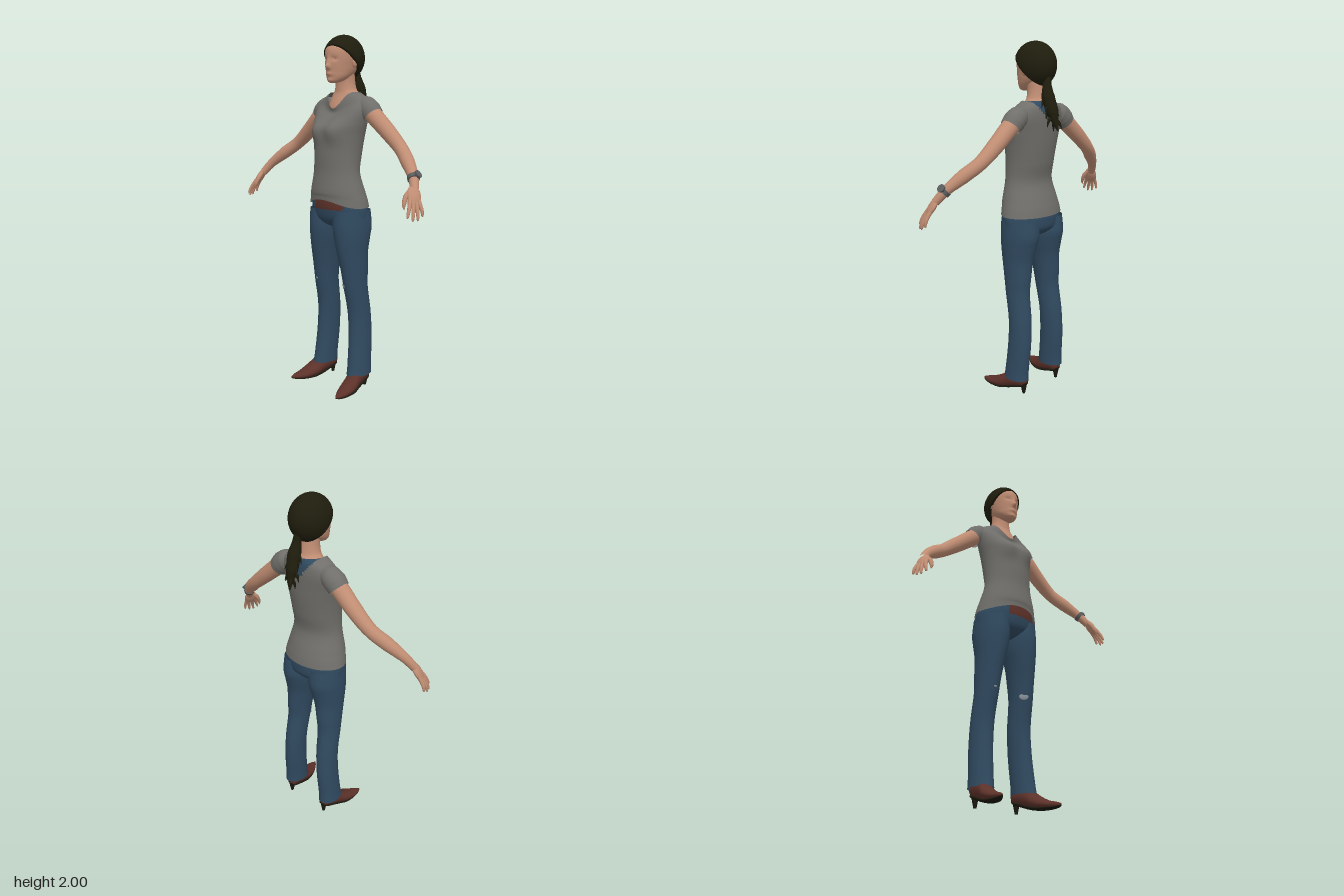
import * as THREE from 'three';
import { mergeVertices, mergeGeometries } from 'three/addons/utils/BufferGeometryUtils.js';

const V = (x, y, z) => new THREE.Vector3(x, y, z);
const mat = (name, color, side = THREE.FrontSide) => {
  const m = new THREE.MeshStandardMaterial({ color, side });
  m.name = name;
  return m;
};

// Smooth interpolation through rows of numbers
function spline(rows, t) {
  const i = Math.min(Math.floor(t), rows.length - 2), f = t - i;
  const at = k => rows[Math.max(0, Math.min(rows.length - 1, k))];
  return rows[i].map((p1, k) => {
    const p0 = at(i - 1)[k], p2 = at(i + 1)[k], p3 = at(i + 2)[k];
    return 0.5 * (2 * p1 + (p2 - p0) * f + (2 * p0 - 5 * p1 + 4 * p2 - p3) * f * f + (3 * p1 - p0 - 3 * p2 + p3) * f * f * f);
  });
}

// Skin over elliptical rings [y, x, z, rx, rz, front lift], listed bottom to top
function loft(rings, { cap = false, seg = 40, sub = 5, deform, paint } = {}) {
  const pos = [], lists = [[], []], rows = (rings.length - 1) * sub;
  for (let i = 0; i <= rows; i++) {
    const [y, x, z, rx, rz, lift] = spline(rings.map(r => [...r, 0].slice(0, 6)), i / sub);
    for (let j = 0; j < seg; j++) {
      const a = j / seg * Math.PI * 2, c = Math.cos(a);
      const p = V(x + rx * Math.sin(a), y + lift * Math.max(0, c) ** 3, z + rz * c);
      if (deform) deform(p);
      pos.push(p.x, p.y, p.z);
    }
  }
  for (let i = 0; i < rows; i++) for (let j = 0; j < seg; j++) {
    const a = i * seg + j, b = i * seg + (j + 1) % seg, d = a + seg, e = b + seg;
    const mid = V(pos[3 * a] + pos[3 * e], pos[3 * a + 1] + pos[3 * e + 1], pos[3 * a + 2] + pos[3 * e + 2]).divideScalar(2);
    lists[paint && paint(mid) ? 1 : 0].push(a, b, d, b, e, d);
  }
  if (cap) {
    const lo = rings[0], hi = rings[rings.length - 1], n = pos.length / 3, top = rows * seg;
    pos.push(lo[1], lo[0], lo[2], hi[1], hi[0], hi[2]);
    for (let j = 0; j < seg; j++) {
      const k = (j + 1) % seg;
      lists[0].push(n, k, j, n + 1, top + j, top + k);
    }
  }
  const g = new THREE.BufferGeometry();
  g.setAttribute('position', new THREE.Float32BufferAttribute(pos, 3));
  g.setIndex(lists.flat());
  if (paint) {
    g.addGroup(0, lists[0].length, 0);
    g.addGroup(lists[0].length, lists[1].length, 1);
  }
  g.computeVertexNormals();
  return g;
}

// Tube along a curve with a radius for each point
function limb(points, radii, seg = 16, steps = 32) {
  const curve = new THREE.CatmullRomCurve3(points);
  const g = new THREE.TubeGeometry(curve, steps, 1, seg, false), p = g.attributes.position;
  for (let i = 0; i <= steps; i++) {
    const c = curve.getPointAt(i / steps), t = curve.getUtoTmapping(i / steps) * (radii.length - 1);
    const k = Math.min(Math.floor(t), radii.length - 2);
    const r = THREE.MathUtils.lerp(radii[k], radii[k + 1], t - k);
    for (let j = 0; j <= seg; j++) {
      const n = i * (seg + 1) + j, v = V(0, 0, 0).fromBufferAttribute(p, n).sub(c).multiplyScalar(r).add(c);
      p.setXYZ(n, v.x, v.y, v.z);
    }
  }
  g.deleteAttribute('uv');
  g.deleteAttribute('normal');
  const out = mergeVertices(g, 1e-5);
  out.computeVertexNormals();
  return out;
}

function mirror(geo) {
  const g = geo.clone().scale(-1, 1, 1), ix = g.index.array;
  for (let i = 0; i < ix.length; i += 3) [ix[i], ix[i + 1]] = [ix[i + 1], ix[i]];
  g.computeVertexNormals();
  return g;
}

export function createModel() {
  const model = new THREE.Group();
  model.name = 'woman';
  const skin = mat('skin', 0xc08d73), hair = mat('dark hair', 0x1f1d0d, THREE.DoubleSide);
  const grey = mat('grey cotton', 0x706f6b, THREE.DoubleSide), denim = mat('blue denim', 0x304a60, THREE.DoubleSide);
  const leather = mat('brown leather', 0x5c3129), black = mat('dark sole', 0x1c190f);
  const steel = mat('watch steel', 0x5b5d5e), frayed = mat('frayed denim', 0x87909a);
  const add = (name, geo, m) => {
    const mesh = new THREE.Mesh(geo, m);
    mesh.name = name;
    model.add(mesh);
    return mesh;
  };
  const pair = (name, geo, m) => { add('left ' + name, geo, m); add('right ' + name, mirror(geo), m); };
  const bump = (p, x, y, sx, sy) => Math.exp(-(((p.x - x) / sx) ** 2) - ((p.y - y) / sy) ** 2);

  // Head with nose, lips and eye sockets
  add('head', loft([
    [1.738, 0, 0.052, 0.016, 0.016], [1.748, 0, 0.038, 0.04, 0.04], [1.77, 0, 0.018, 0.06, 0.066],
    [1.8, 0, -0.003, 0.072, 0.09], [1.835, 0, -0.014, 0.08, 0.104], [1.875, 0, -0.02, 0.087, 0.11],
    [1.92, 0, -0.024, 0.086, 0.109], [1.96, 0, -0.028, 0.066, 0.085], [1.982, 0, -0.03, 0.025, 0.035],
  ], {
    cap: true, seg: 64, sub: 6, deform: p => {
      if (p.z < 0.02) return;
      p.z += 0.022 * bump(p, 0, 1.826, 0.012, 0.014) + 0.009 * bump(p, 0, 1.85, 0.011, 0.025);
      p.z += 0.007 * bump(p, 0, 1.786, 0.024, 0.01) + 0.008 * bump(p, 0, 1.75, 0.025, 0.012);
      p.z -= 0.009 * (bump(p, 0.034, 1.866, 0.018, 0.011) + bump(p, -0.034, 1.866, 0.018, 0.011));
    },
  }), skin);
  pair('ear', new THREE.SphereGeometry(1, 12, 10).scale(0.011, 0.026, 0.016).translate(0.087, 1.845, -0.025), skin);
  pair('eyelash', limb([V(0.02, 1.862, 0.075), V(0.034, 1.864, 0.071), V(0.05, 1.861, 0.064)], [0.001, 0.0025, 0.001], 6, 8), hair);
  add('neck and chest', loft([
    [1.54, 0, -0.035, 0.1, 0.085], [1.6, 0, -0.035, 0.1, 0.087], [1.64, 0, -0.042, 0.096, 0.08],
    [1.68, 0, -0.046, 0.083, 0.066], [1.705, 0, -0.042, 0.064, 0.058], [1.75, 0, -0.038, 0.055, 0.054], [1.81, 0, -0.03, 0.056, 0.056],
  ]), skin);

  // Swept-back hair with a turned-in rim, and ponytail
  const cap = [new THREE.Vector2(0.8, -0.2)];
  for (let i = 0; i <= 20; i++) {
    const a = (1 - i / 20) * 1.83;
    cap.push(new THREE.Vector2(Math.max(0, Math.sin(a)), Math.cos(a)));
  }
  add('hair', new THREE.LatheGeometry(cap, 40).rotateX(-0.78).rotateZ(0.1).scale(0.105, 0.125, 0.125).translate(0.002, 1.875, -0.026), hair);
  const tail = [V(0, 1.83, -0.115), V(0.01, 1.77, -0.12), V(0.015, 1.71, -0.133), V(0.008, 1.63, -0.16), V(0, 1.535, -0.19)];
  const strands = [limb(tail, [0.02, 0.024, 0.036, 0.033, 0.003], 10)];
  const tailCurve = new THREE.CatmullRomCurve3(tail);
  for (let i = 0; i < 14; i++) {
    const p = tailCurve.getPoint(0.38 + i * 0.038), a = i * 2.4, out = V(Math.sin(a), 0, Math.cos(a) * 0.6);
    strands.push(limb([p, p.clone().addScaledVector(out, 0.032).add(V(0, -0.02, 0)), p.clone().addScaledVector(out, 0.05).add(V(0, -0.055, -0.008))],
      [0.012, 0.01, 0.001], 5, 6));
  }
  add('ponytail', mergeGeometries(strands), hair);

  // T-shirt with scooped neck, raised front hem and a blue panel at the nape
  add('shirt', loft([
    [1.058, 0, 0.008, 0.196, 0.137, 0.042], [1.1, 0, 0.012, 0.187, 0.134, 0.02], [1.15, 0, 0.02, 0.174, 0.129, 0],
    [1.25, 0, 0.028, 0.15, 0.11, 0], [1.35, 0, 0.019, 0.149, 0.119, 0], [1.45, 0, 0.008, 0.16, 0.123, 0],
    [1.52, 0, 0, 0.175, 0.122, -0.02], [1.6, 0, -0.02, 0.186, 0.108, -0.06], [1.655, 0, -0.035, 0.155, 0.09, -0.08],
    [1.69, 0, -0.03, 0.09, 0.087, -0.09],
  ], {
    seg: 72, sub: 8,
    deform: p => { if (p.z > 0) p.z += 0.026 * (bump(p, 0.07, 1.475, 0.055, 0.06) + bump(p, -0.07, 1.475, 0.055, 0.06)); },
    paint: p => p.z < -0.05 && p.y > 1.595 && Math.abs(p.x) < (p.y - 1.57) * 0.75,
  }), [grey, denim]);
  pair('sleeve', limb([V(0.09, 1.63, -0.05), V(0.15, 1.613, -0.05), V(0.185, 1.588, -0.048), V(0.212, 1.56, -0.048)],
    [0.03, 0.057, 0.061, 0.056], 24), grey);

  // Arms and hands
  pair('arm', limb([V(0.17, 1.6, -0.05), V(0.23, 1.55, -0.048), V(0.32, 1.475, -0.05), V(0.42, 1.393, -0.04), V(0.5, 1.332, -0.002), V(0.58, 1.262, 0.045), V(0.62, 1.205, 0.08)],
    [0.046, 0.048, 0.044, 0.037, 0.037, 0.026, 0.022], 20, 40), skin);
  const D = V(0.41, -0.845, 0.34).normalize(), N = D.clone().cross(V(-0.4, 0.1, 0.91)).normalize(), S = N.clone().cross(D);
  const hand = (d, s, n) => V(0.63, 1.18, 0.095).addScaledVector(D, d).addScaledVector(S, s).addScaledVector(N, n);
  const frame = new THREE.Matrix4().makeBasis(D, S, N).setPosition(hand(0, 0, 0));
  pair('palm', new THREE.SphereGeometry(1, 20, 14).scale(0.056, 0.037, 0.017).applyMatrix4(frame), skin);
  [0.105, 0.13, 0.137, 0.125].forEach((len, i) => {
    const k = i - 1.5;
    pair('finger ' + (i + 1), limb([hand(0.015, k * 0.015, 0), hand(0.045, k * 0.018, -0.002), hand(len * 0.72, k * 0.024, 0), hand(len - 0.006, k * 0.027, 0.008), hand(len, k * 0.027, 0.01)],
      [0.011, 0.011, 0.009, 0.006, 0.001], 10, 16), skin);
  });
  pair('thumb', limb([hand(-0.03, 0.015, 0.003), hand(0.005, 0.038, 0.012), hand(0.045, 0.048, 0.022), hand(0.073, 0.046, 0.028)],
    [0.012, 0.014, 0.01, 0.001], 10, 16), skin);

  // Wristwatch on the left arm
  const watch = new THREE.Group(), wrist = V(0.582, 1.26, 0.047);
  watch.name = 'wristwatch';
  const band = new THREE.Mesh(new THREE.CylinderGeometry(0.031, 0.031, 0.022, 24), steel);
  const dial = new THREE.Mesh(new THREE.CylinderGeometry(0.02, 0.022, 0.012, 20).rotateZ(Math.PI / 2).translate(0.033, 0, 0), steel);
  band.name = 'band';
  dial.name = 'dial';
  watch.add(band, dial);
  watch.position.copy(wrist);
  watch.quaternion.setFromUnitVectors(V(0, 1, 0), V(-0.6, 0.68, -0.42).normalize());
  model.add(watch);

  // Jeans with a belt showing under the hem
  add('jeans seat', loft([
    [0.935, 0, 0, 0.03, 0.04], [0.95, 0, 0, 0.1, 0.08], [0.985, 0, 0, 0.178, 0.117], [1.03, 0, 0.003, 0.188, 0.128], [1.07, 0, 0.006, 0.183, 0.129], [1.12, 0, 0.01, 0.17, 0.12],
  ], { cap: true, seg: 64, paint: p => p.y > 1.045 && p.z > 0 && p.x > -0.075 && p.x < 0.125 }), [denim, leather]);
  pair('jeans leg', loft([
    [0.09, 0.145, -0.012, 0.058, 0.082], [0.15, 0.142, -0.017, 0.057, 0.077], [0.3, 0.135, -0.03, 0.057, 0.075],
    [0.45, 0.128, -0.028, 0.059, 0.072], [0.6, 0.122, -0.005, 0.061, 0.076], [0.7, 0.117, 0.001, 0.067, 0.086],
    [0.8, 0.109, 0.008, 0.076, 0.098], [0.88, 0.102, 0.005, 0.088, 0.113], [0.95, 0.098, 0, 0.093, 0.124], [1.04, 0.097, 0.002, 0.088, 0.118],
  ]), denim);
  [[0.09, 0.61, 0.059, 0.027, 0.019, -0.62], [-0.122, 0.62, 0.071, 0.012, 0.009, 0]].forEach(([x, y, z, w, h, turn]) =>
    add('knee tear', new THREE.SphereGeometry(1, 9, 7).scale(w, h, 0.0045).rotateY(turn).translate(x, y, z), frayed));

  // Pointed heeled shoes, lofted from heel to toe
  const shoe = [
    [-0.085, 0.137, -0.088, 0.018, 0.02], [-0.07, 0.139, -0.085, 0.034, 0.036], [-0.02, 0.145, -0.082, 0.042, 0.05],
    [0.03, 0.152, -0.068, 0.047, 0.052], [0.08, 0.163, -0.044, 0.051, 0.038], [0.14, 0.175, -0.027, 0.041, 0.023],
    [0.19, 0.188, -0.022, 0.021, 0.014], [0.215, 0.194, -0.021, 0.004, 0.005],
  ];
  const sole = shoe.map(([z, x, h, w, t]) => [z, x, h + t * 0.82, w * 0.88, t * 0.22 + 0.002]);
  pair('shoe', loft(shoe, { cap: true, seg: 28 }).rotateX(Math.PI / 2), leather);
  pair('sole', loft(sole, { cap: true, seg: 28 }).rotateX(Math.PI / 2), black);
  pair('heel', new THREE.CylinderGeometry(0.022, 0.008, 0.07, 14).translate(0.138, 0.035, -0.066), black);
  return model;
}
